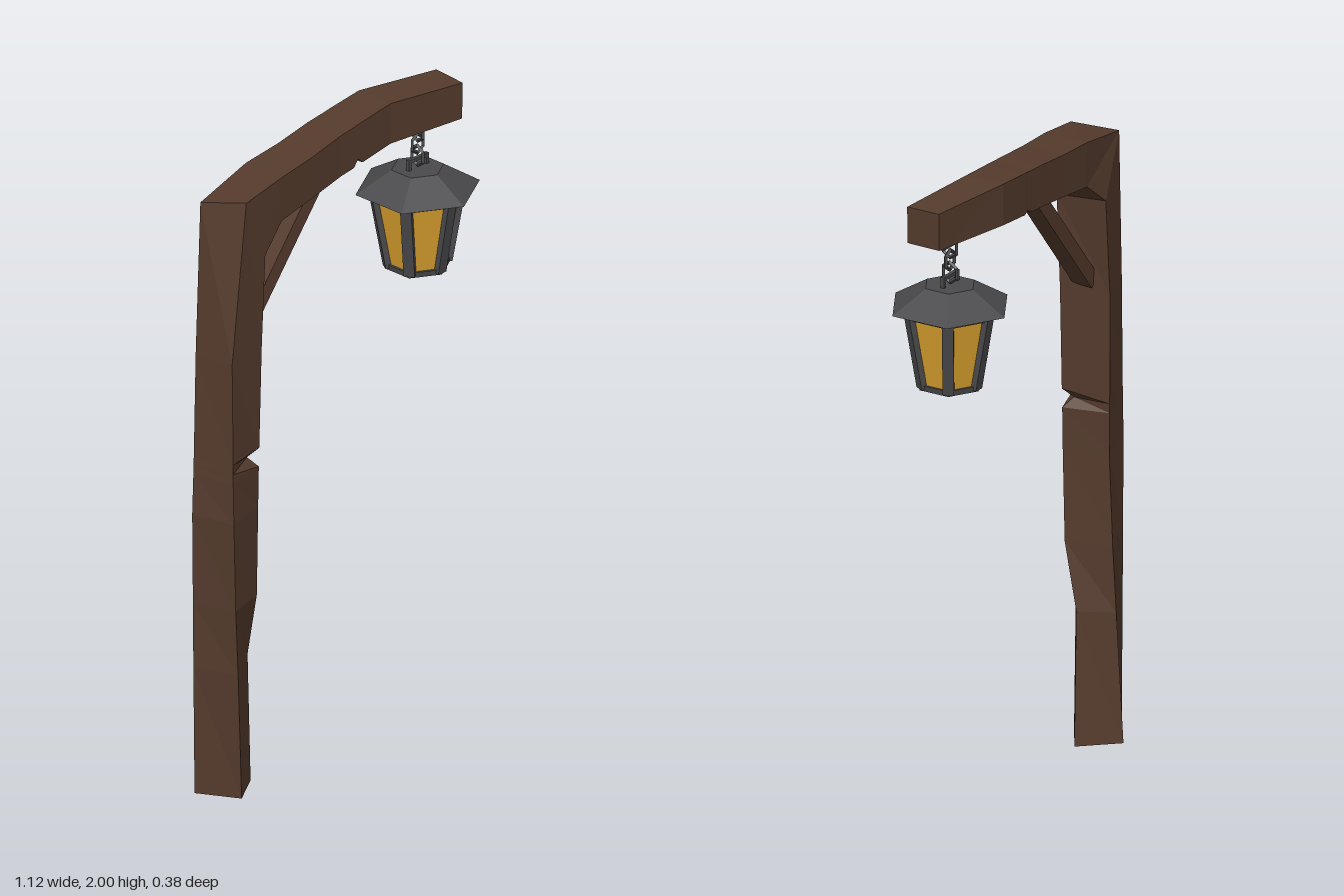
import * as THREE from 'three';

const wood = new THREE.MeshStandardMaterial({ color: 0x553b2d, flatShading: true });
const metal = new THREE.MeshStandardMaterial({ color: 0x4a4a4c, flatShading: true });
const glass = new THREE.MeshStandardMaterial({ color: 0xd9a02e, flatShading: true });

function add(parent, name, geometry, material, x = 0, y = 0, z = 0) {
  const mesh = new THREE.Mesh(geometry, material);
  mesh.name = name;
  mesh.position.set(x, y, z);
  parent.add(mesh);
  return mesh;
}

// Skin a run of four-cornered cross-sections and cap both ends
function timber(rings) {
  const index = [0, 1, 2, 0, 2, 3];
  for (let i = 0; i < rings.length - 1; i++) {
    for (let j = 0; j < 4; j++) {
      const a = i * 4 + j, b = i * 4 + (j + 1) % 4;
      index.push(a, a + 4, b + 4, a, b + 4, b);
    }
  }
  const e = (rings.length - 1) * 4;
  index.push(e, e + 2, e + 1, e, e + 3, e + 2);
  const g = new THREE.BufferGeometry();
  g.setAttribute('position', new THREE.Float32BufferAttribute(rings.flat(2), 3));
  g.setIndex(index);
  const flat = g.toNonIndexed();
  flat.computeVertexNormals();
  return flat;
}

// Post section: front, left, back and inner corners as x, z pairs
const postRing = (y, f, l, b, n) => [f, l, b, n].map(([x, z]) => [x, y, z]);

// Beam section: top and bottom heights, front and back depths
const beamRing = (x, top, bottom, front, back, chip = 0) => [
  [x, top, front], [x, top, back], [x, bottom + chip * 0.5, back], [x, bottom + chip, front],
];

function frame() {
  return timber([
    [[-0.475, 0.005, 0.125], [-0.555, 0.012, 0.01], [-0.44, 0.01, -0.07], [-0.36, 0, 0.05]],
    postRing(0.42, [-0.5, 0.135], [-0.56, 0.01], [-0.432, -0.05], [-0.378, 0.055]),
    postRing(0.63, [-0.515, 0.14], [-0.562, 0.01], [-0.428, -0.04], [-0.385, 0.1]),
    postRing(0.92, [-0.53, 0.147], [-0.565, 0.01], [-0.425, -0.03], [-0.39, 0.11]),
    // chipped inner edge
    postRing(1.05, [-0.528, 0.142], [-0.558, 0.008], [-0.422, -0.033], [-0.387, 0.11]),
    postRing(1.08, [-0.527, 0.141], [-0.556, 0.007], [-0.421, -0.034], [-0.412, 0.085]),
    postRing(1.11, [-0.526, 0.14], [-0.554, 0.006], [-0.42, -0.035], [-0.385, 0.11]),
    postRing(1.43, [-0.52, 0.13], [-0.54, 0], [-0.41, -0.042], [-0.375, 0.11]),
    // bend from post into beam
    [[-0.45, 1.93, 0.12], [-0.51, 1.91, -0.01], [-0.375, 1.74, -0.05], [-0.365, 1.73, 0.115]],
    beamRing(-0.285, 1.952, 1.812, 0.105, -0.042),
    beamRing(-0.14, 1.963, 1.83, 0.088, -0.052),
    beamRing(0, 1.98, 1.848, 0.07, -0.065),
    // chipped underside
    beamRing(0.06, 1.985, 1.853, 0.065, -0.069),
    beamRing(0.08, 1.987, 1.855, 0.063, -0.07, 0.02),
    beamRing(0.1, 1.989, 1.857, 0.061, -0.072),
    beamRing(0.23, 2, 1.87, 0.05, -0.08),
    [[0.503, 1.985, 0.08], [0.51, 1.988, -0.035], [0.508, 1.872, -0.035], [0.5, 1.87, 0.08]],
  ]);
}

function createLantern() {
  const lantern = new THREE.Group();
  lantern.name = 'lantern';
  const hex = (top, bottom, h) => new THREE.CylinderGeometry(top, bottom, h, 6);
  add(lantern, 'roof', hex(0.08, 0.19, 0.067), metal, 0, 1.6885);
  add(lantern, 'glassPanes', hex(0.135, 0.094, 0.23), glass, 0, 1.53);
  add(lantern, 'topRim', hex(0.145, 0.142, 0.022), metal, 0, 1.645);
  add(lantern, 'bottomRim', hex(0.104, 0.1, 0.018), metal, 0, 1.414);

  // Sloping corner bars
  for (let i = 0; i < 6; i++) {
    const corner = new THREE.Group();
    corner.name = 'cornerBar';
    corner.rotation.y = i * Math.PI / 3;
    lantern.add(corner);
    const bar = add(corner, 'bar', new THREE.BoxGeometry(0.034, 0.24, 0.024), metal, 0, 1.53, 0.111);
    bar.rotation.x = Math.atan2(0.045, 0.25);
  }

  // Chain: square staples at the ends, alternating links between
  for (const [y, side] of [[1.858, -1], [1.74, 1]]) {
    const staple = new THREE.Group();
    staple.name = 'staple';
    lantern.add(staple);
    add(staple, 'crossbar', new THREE.BoxGeometry(0.084, 0.01, 0.012), metal, 0, y + side * 0.011);
    for (const s of [-1, 1]) {
      add(staple, 'leg', new THREE.BoxGeometry(0.01, 0.034, 0.012), metal, s * 0.037, y);
    }
  }
  [1.838, 1.799, 1.76].forEach((y, i) => {
    const link = add(lantern, 'chainLink', new THREE.TorusGeometry(0.026, 0.006, 4, 6), metal, 0, y);
    link.geometry.rotateZ(Math.PI / 6);
    link.scale.y = 1.2;
    link.rotation.y = i === 1 ? 0 : Math.PI / 2;
  });
  return lantern;
}

export function createModel() {
  const model = new THREE.Group();
  model.name = 'lanternPost';
  add(model, 'postAndBeam', frame(), wood);

  // Diagonal brace between post and beam
  const from = new THREE.Vector3(-0.405, 1.465, 0.04);
  const to = new THREE.Vector3(-0.06, 1.855, 0.015);
  const brace = add(model, 'brace', new THREE.BoxGeometry(0.046, from.distanceTo(to), 0.065), wood);
  brace.position.lerpVectors(from, to, 0.5);
  brace.quaternion.setFromUnitVectors(new THREE.Vector3(0, 1, 0), to.clone().sub(from).normalize());

  const lantern = createLantern();
  lantern.position.x = 0.395;
  model.add(lantern);
  return model;
}
